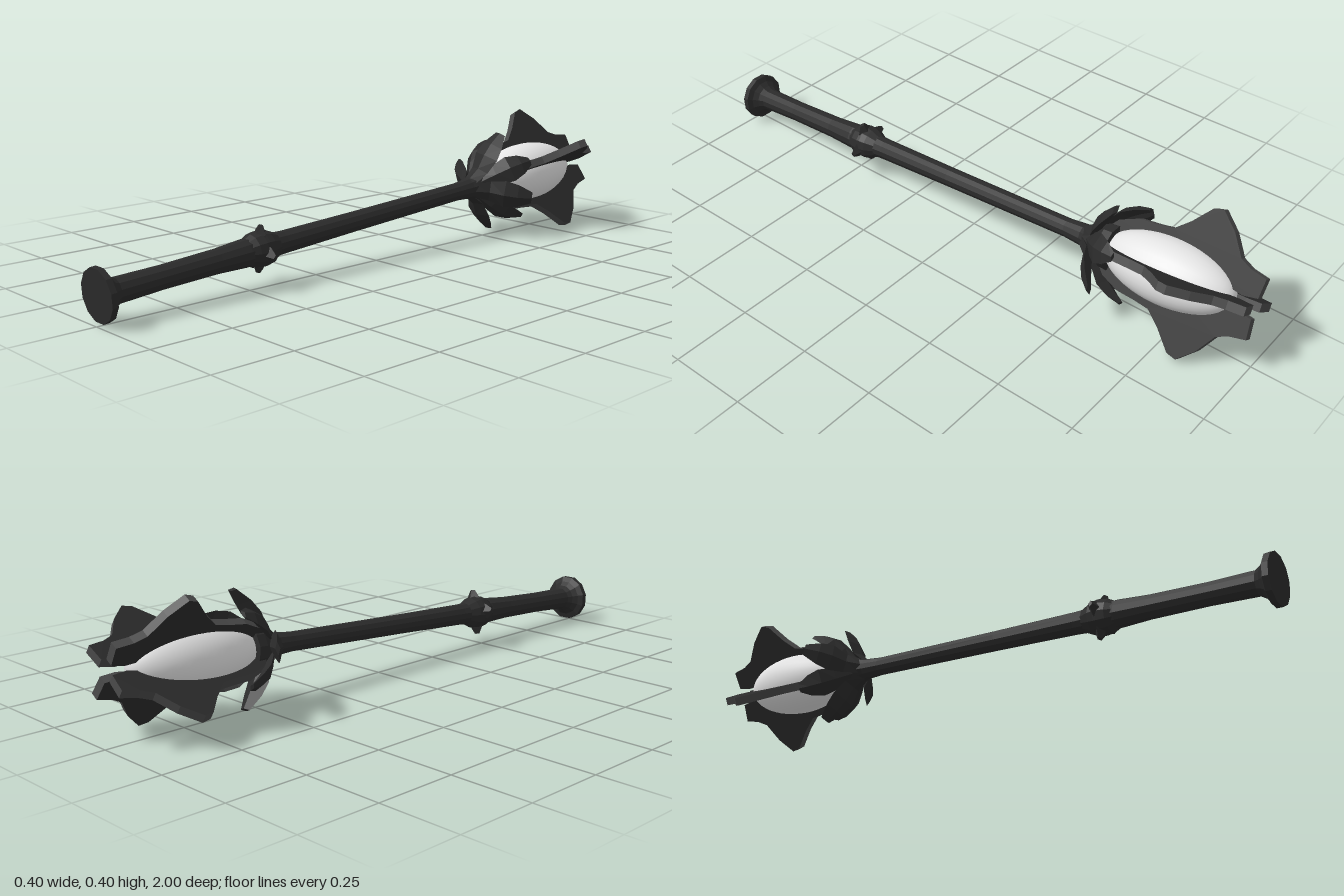
import * as THREE from 'three';

const darkMetal = new THREE.MeshStandardMaterial({ color: 0x2b2b2b, flatShading: true });
darkMetal.name = 'dark metal';
const edgeMetal = new THREE.MeshStandardMaterial({ color: 0x484848, flatShading: true });
edgeMetal.name = 'worn edge metal';
const paleGlass = new THREE.MeshStandardMaterial({ color: 0xe4e4e4 });
paleGlass.name = 'pale glass';

// Profile points are [radius, distance along the axis]
const lathe = (pts, sides) =>
  new THREE.LatheGeometry(pts.map(([r, s]) => new THREE.Vector2(r, s)), sides);

// Pointed leaf lofted from diamond sections [radius, axis, halfWidth, halfThickness]
function petalGeometry(stations) {
  const pos = [], idx = [], n = stations.length;
  stations.forEach(([r, s, w, t], i) => {
    const a = stations[Math.max(i - 1, 0)], b = stations[Math.min(i + 1, n - 1)];
    const len = Math.hypot(b[0] - a[0], b[1] - a[1]);
    const nx = (b[1] - a[1]) / len * t, ny = -(b[0] - a[0]) / len * t;
    pos.push(r, s, w, r + nx, s + ny, 0, r, s, -w, r - nx, s - ny, 0);
  });
  for (let i = 0; i < n - 1; i++) {
    for (let j = 0; j < 4; j++) {
      const a = i * 4 + j, b = i * 4 + (j + 1) % 4;
      idx.push(a, b, b + 4, a, b + 4, a + 4);
    }
  }
  const e = (n - 1) * 4;
  idx.push(2, 1, 0, 3, 2, 0, e, e + 1, e + 2, e, e + 2, e + 3);
  const g = new THREE.BufferGeometry();
  g.setAttribute('position', new THREE.Float32BufferAttribute(pos, 3));
  g.setIndex(idx);
  g.computeVertexNormals();
  return g;
}

export function createModel() {
  const model = new THREE.Group();
  model.name = 'mace';
  // Built along +Y, then laid down with the head pointing back and slightly up
  const mace = new THREE.Group();
  mace.name = 'tiltedMace';
  mace.rotation.x = -Math.PI / 2 + 0.064;
  mace.position.set(0, 0.078, 0.995);
  model.add(mace);

  const add = (geometry, material, name, angle = 0) => {
    const mesh = new THREE.Mesh(geometry, material);
    mesh.name = name;
    mesh.rotation.y = -THREE.MathUtils.degToRad(angle);
    mace.add(mesh);
    return mesh;
  };
  const addFour = (geometry, material, name, start) => {
    for (let k = 0; k < 4; k++) add(geometry, material, name, start + 90 * k);
  };

  // Pommel, grip, shaft and the cup under the head
  add(lathe([[0, 0], [0.077, 0], [0.077, 0.018], [0.06, 0.026], [0.046, 0.04], [0.037, 0.055],
    [0.034, 0.2], [0.036, 0.38], [0.042, 0.48]], 12), darkMetal, 'pommelAndGrip', 15);
  add(lathe([[0.042, 0.48], [0.034, 0.62], [0.031, 0.9], [0.029, 1.36], [0.034, 1.42],
    [0.048, 1.465], [0.068, 1.5], [0.07, 1.53], [0, 1.54]], 12), darkMetal, 'shaftAndCup', 15);

  // Collar ring with four points
  add(lathe([[0.038, 0.48], [0.05, 0.505], [0.054, 0.53], [0.054, 0.54], [0.05, 0.56],
    [0.036, 0.59]], 12), darkMetal, 'collarRing');
  addFour(petalGeometry([[0.03, 0.534, 0.032, 0.026], [0.052, 0.534, 0.024, 0.016],
    [0.074, 0.534, 0.01, 0.007]]), darkMetal, 'collarPoint', 78);

  // Glowing egg-shaped core
  const core = new THREE.SphereGeometry(1, 32, 24);
  core.scale(0.1, 0.21, 0.1);
  core.translate(0, 1.71, 0);
  add(core, paleGlass, 'core');

  // Leaves around the head
  addFour(petalGeometry([[0.025, 1.43, 0.025, 0.012], [0.055, 1.47, 0.034, 0.014],
    [0.1, 1.495, 0.047, 0.016], [0.135, 1.52, 0.04, 0.014], [0.17, 1.552, 0.02, 0.007]]),
  darkMetal, 'largeLeaf', 78);
  addFour(petalGeometry([[0.035, 1.46, 0.02, 0.012], [0.075, 1.495, 0.036, 0.014],
    [0.11, 1.53, 0.044, 0.015], [0.13, 1.565, 0.034, 0.012], [0.142, 1.6, 0.014, 0.006]]),
  darkMetal, 'smallLeaf', 32);

  // Four blades wrapped round the core
  const outline = [[0.05, 1.49], [0.085, 1.52], [0.11, 1.58], [0.115, 1.64], [0.122, 1.69],
    [0.16, 1.735], [0.215, 1.785], [0.222, 1.815], [0.175, 1.865], [0.115, 1.905], [0.098, 1.94],
    [0.088, 1.99], [0.03, 1.985], [0.022, 1.94], [0.03, 1.89], [0.06, 1.8], [0.07, 1.65]];
  const blade = new THREE.ExtrudeGeometry(
    new THREE.Shape(outline.map(([r, s]) => new THREE.Vector2(r, s))),
    { depth: 0.026, bevelEnabled: false });
  blade.translate(0, 0, -0.013);
  addFour(blade, [darkMetal, edgeMetal], 'blade', 30);

  return model;
}
